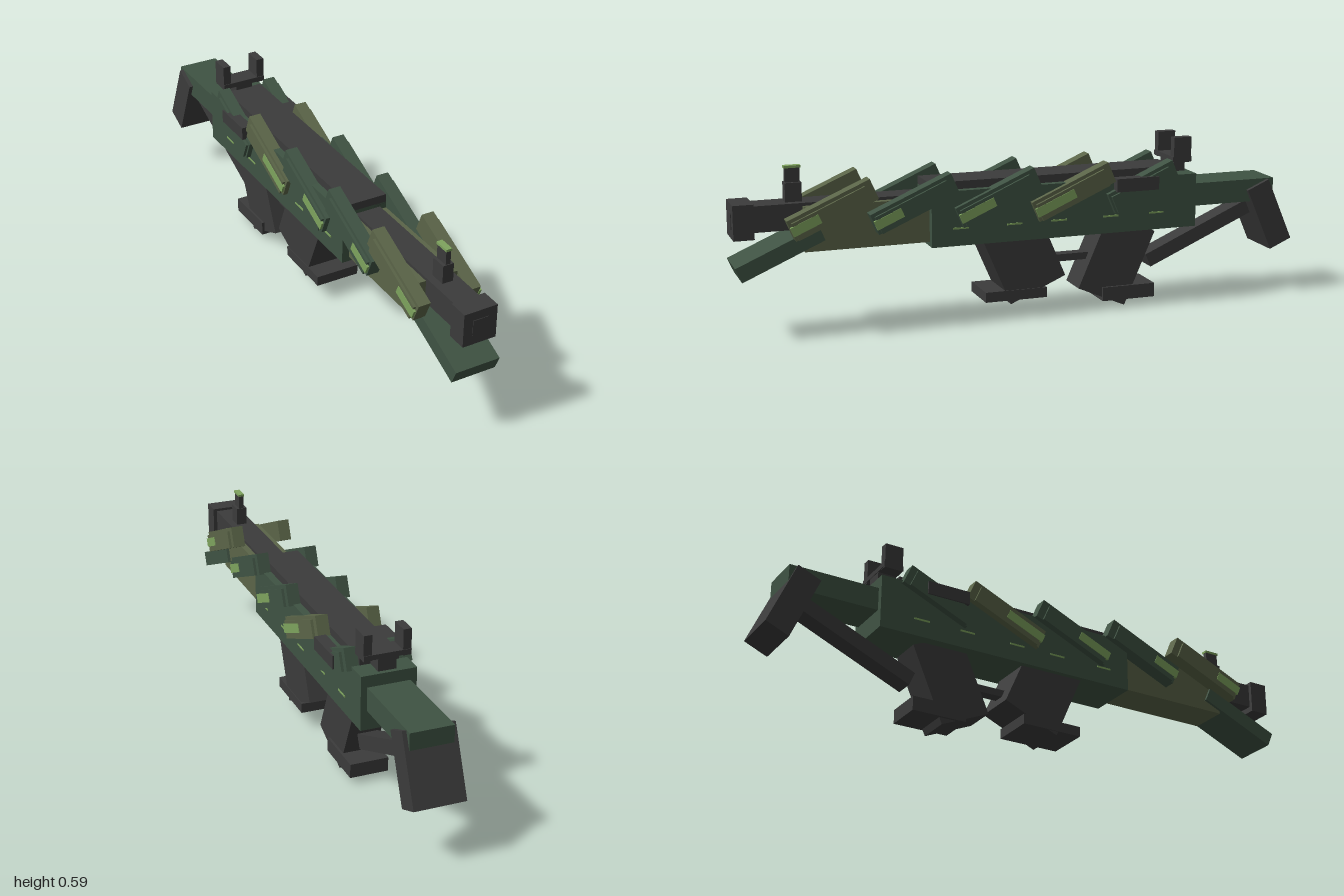
import * as THREE from 'three';

const TILT = 0.41;

function mat(name, color) {
  const m = new THREE.MeshStandardMaterial({ color });
  m.name = name;
  return m;
}

export function createModel() {
  const metal = mat('dark metal', 0x3b3b3b);
  const green = mat('dark green', 0x3f5343);
  const olive = mat('olive', 0x5b6548);
  const glow = mat('light green', 0x7ea35e);
  const root = new THREE.Group();
  root.name = 'rifle';

  // box by centre and size, tilted about x
  function box(name, m, [w, h, d], [x, y, z], tilt = 0, parent = root) {
    const b = new THREE.Mesh(new THREE.BoxGeometry(w, h, d), m);
    b.name = name;
    b.position.set(x, y, z);
    b.rotation.x = tilt;
    parent.add(b);
    return b;
  }
  // box by its y and z ranges, centred on x
  function span(name, m, w, y0, y1, z0, z1, x = 0) {
    return box(name, m, [w, y1 - y0, z1 - z0], [x, (y0 + y1) / 2, (z0 + z1) / 2]);
  }

  // body
  span('mainBody', green, 0.188, 0.273, 0.46, -0.61, 0.35);
  span('foreBody', olive, 0.136, 0.288, 0.437, 0.35, 0.77);
  span('receiver', metal, 0.134, 0.36, 0.487, -0.535, 0.35);
  box('foreBar', green, [0.156, 0.053, 0.3], [0, 0.29, 0.852], TILT);

  // barrel and muzzle
  span('barrel', metal, 0.09, 0.36, 0.447, 0.3, 0.94);
  span('muzzle', metal, 0.117, 0.34, 0.456, 0.93, 0.998);
  span('bore', metal, 0.053, 0.371, 0.426, 0.99, 1.0);

  // front sight
  span('frontSightBase', metal, 0.038, 0.44, 0.51, 0.765, 0.82);
  span('frontSightPost', metal, 0.017, 0.51, 0.558, 0.768, 0.817);
  span('frontSightTip', glow, 0.021, 0.557, 0.565, 0.765, 0.82);

  // rear sight
  span('rearSightFoot', metal, 0.062, 0.45, 0.504, -0.595, -0.53);
  span('rearSightBase', metal, 0.16, 0.503, 0.52, -0.597, -0.527);

  // stock
  span('stockBar', green, 0.146, 0.34, 0.42, -0.923, -0.6);
  box('buttPlate', metal, [0.174, 0.24, 0.088], [0, 0.29, -0.906], TILT);
  box('stockStrut', metal, [0.07, 0.05, 0.42], [0, 0.23, -0.652], TILT);

  // magazine, grip and guard
  box('magazine', metal, [0.15, 0.28, 0.215], [0, 0.219, 0.024], TILT);
  span('magazineFoot', metal, 0.156, 0.062, 0.097, -0.062, 0.158);
  box('grip', metal, [0.117, 0.28, 0.188], [0, 0.166, -0.329], -TILT);
  span('gripFoot', metal, 0.134, 0.023, 0.072, -0.47, -0.275);
  span('triggerGuard', metal, 0.04, 0.168, 0.193, -0.26, -0.08);

  // overlapping side plates: centre z, length, material, accent length
  const plates = [
    [0.684, 0.3, olive, 0.1],
    [0.41, 0.3, green, 0.1],
    [0.12, 0.3, green, 0.13],
    [-0.148, 0.3, olive, 0.15],
    [-0.405, 0.26, green, 0],
  ];
  for (const s of [1, -1]) {
    for (const [z, len, m, accent] of plates) {
      const g = new THREE.Group();
      g.name = 'sidePlate';
      g.position.set(0, 0.43, z);
      g.rotation.x = TILT;
      root.add(g);
      box('plate', m, [0.043, 0.074, len], [s * 0.0895, 0, 0], 0, g);
      box('outerPlate', m, [0.01, 0.062, len * 0.88], [s * 0.115, -0.006, 0.008], 0, g);
      if (accent) {
        box('accent', glow, [0.008, 0.032, accent], [s * 0.118, -0.002, len / 2 - accent / 2], 0, g);
      }
    }
    // thin light slits along the body
    for (const z of [0.25, 0.06, -0.1, -0.29, -0.46]) {
      box('bodySlit', glow, [0.004, 0.006, 0.055], [s * 0.094, 0.333, z]);
    }
    span('sideHandle', metal, 0.04, 0.42, 0.466, -0.455, -0.3, s * 0.105);
    span('rearSightPost', metal, 0.028, 0.5, 0.588, -0.595, -0.53, s * 0.066);
  }
  return root;
}
